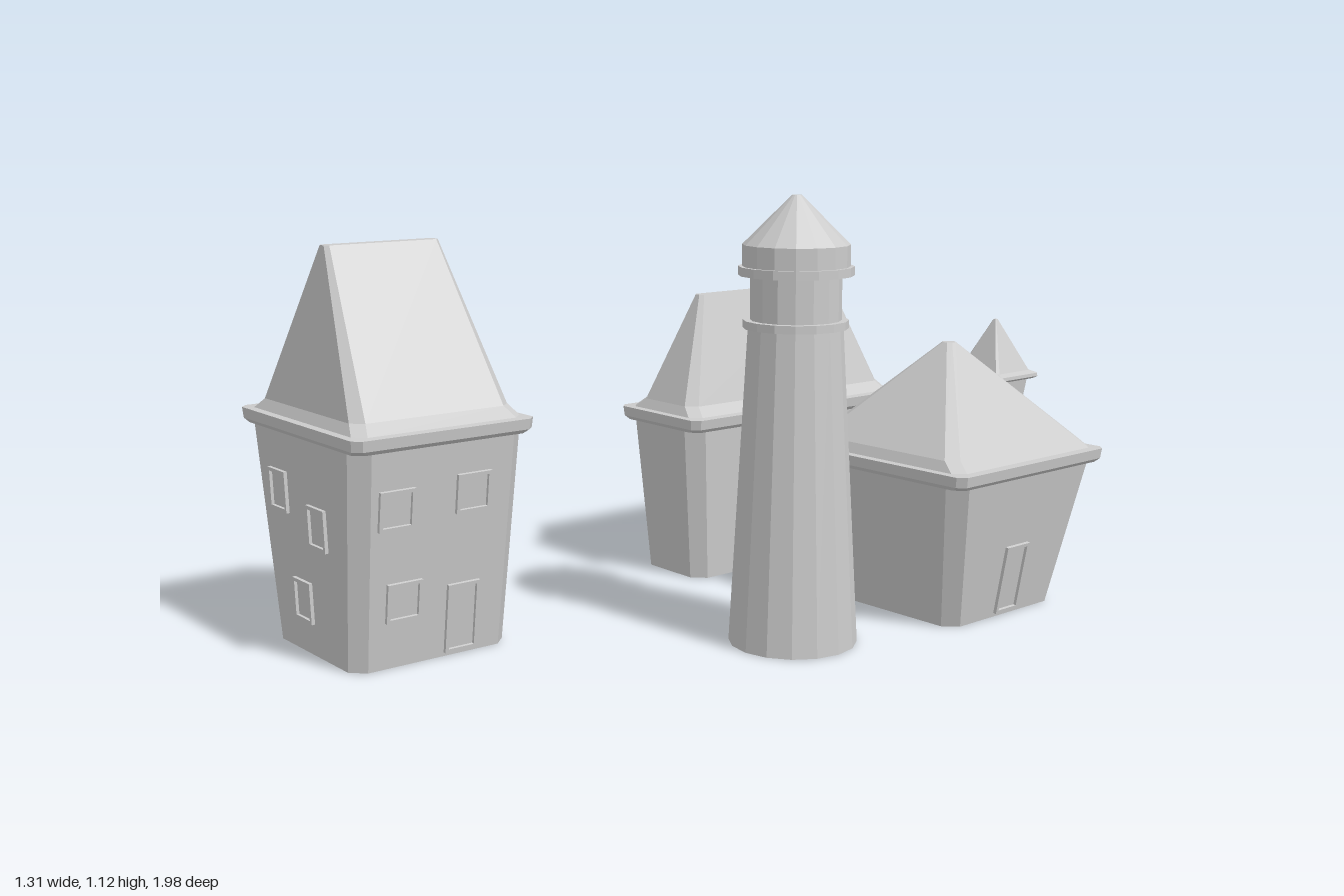
import * as THREE from 'three';

const material = new THREE.MeshStandardMaterial({ color: 0xcccccc, flatShading: true });

function addMesh(parent, geometry, name) {
  const mesh = new THREE.Mesh(geometry, material);
  mesh.name = name;
  parent.add(mesh);
  return mesh;
}

// Stack of rectangular rings with cut corners; each ring is [y, halfX, halfZ, cornerCut]
function loft(rings) {
  const pos = [], idx = [];
  for (const [y, hx, hz, c] of rings) {
    pos.push(hx, y, -hz + c, hx, y, hz - c, hx - c, y, hz, -hx + c, y, hz,
      -hx, y, hz - c, -hx, y, -hz + c, -hx + c, y, -hz, hx - c, y, -hz);
  }
  const last = (rings.length - 1) * 8;
  const base = pos.length / 3, top = base + 1;
  pos.push(0, rings[0][0], 0, 0, rings[rings.length - 1][0], 0);
  for (let i = 0; i < 8; i++) {
    const j = (i + 1) % 8;
    for (let r = 0; r < last; r += 8) idx.push(r + i, r + 8 + i, r + j, r + j, r + 8 + i, r + 8 + j);
    idx.push(base, i, j, top, last + j, last + i);
  }
  const indexed = new THREE.BufferGeometry();
  indexed.setAttribute('position', new THREE.Float32BufferAttribute(pos, 3));
  indexed.setIndex(idx);
  const geometry = indexed.toNonIndexed();
  geometry.computeVertexNormals();
  return geometry;
}

// Thin raised frame with an open middle
function frameGeometry(w, h, border, depth) {
  const rect = (P, a, b) => {
    const p = new P();
    p.moveTo(-a, -b).lineTo(a, -b).lineTo(a, b).lineTo(-a, b).closePath();
    return p;
  };
  const shape = rect(THREE.Shape, w / 2, h / 2);
  shape.holes.push(rect(THREE.Path, w / 2 - border, h / 2 - border));
  return new THREE.ExtrudeGeometry(shape, { depth, bevelEnabled: false });
}

// House with outward-leaning walls, flared eaves and a hipped roof
function house(name, { x, z, turn = 0, base, top, wall, ridgeY, ridge }) {
  const group = new THREE.Group();
  group.name = name;
  group.position.set(x, 0, z);
  group.rotation.y = turn;
  const [tx, tz] = top;
  addMesh(group, loft([[0, ...base, 0.035], [wall, tx, tz, 0.042]]), 'walls');
  addMesh(group, loft([
    [wall - 0.005, tx + 0.008, tz + 0.003, 0.025],
    [wall + 0.005, tx + 0.018, tz + 0.01, 0.02],
    [wall + 0.032, tx + 0.022, tz + 0.012, 0.02],
    [wall + 0.034, tx - 0.003, tz - 0.006, 0.028],
    [wall + 0.06, tx - 0.037, tz - 0.02, 0.028],
    [ridgeY, ...ridge, 0.01],
  ]), 'roof');

  // Place a frame on a wall: side 0 = +z, 1 = +x, 2 = -z, 3 = -x
  const opening = (label, side, along, y, w, h) => {
    const k = side % 2 ? 0 : 1;
    const pivot = new THREE.Group();
    pivot.name = label;
    pivot.rotation.y = side * Math.PI / 2;
    group.add(pivot);
    const frame = addMesh(pivot, frameGeometry(w, h, 0.009, 0.012), label + 'Frame');
    const panel = addMesh(pivot, new THREE.BoxGeometry(w - 0.016, h - 0.016, 0.008), label + 'Panel');
    for (const part of [frame, panel]) {
      part.position.set(along, y, THREE.MathUtils.lerp(base[k], top[k], y / wall) - 0.003);
      part.rotation.x = Math.atan((top[k] - base[k]) / wall);
    }
  };
  return { group, opening };
}

export function createModel() {
  const model = new THREE.Group();
  model.name = 'village';

  // Tall house with windows all round and a door
  const tall = house('tallHouse', {
    x: -0.343, z: 0.735, turn: -0.04, base: [0.208, 0.218], top: [0.285, 0.237],
    wall: 0.555, ridgeY: 1.01, ridge: [0.02, 0.157],
  });
  for (const [u, y] of [[-0.125, 0.4], [0.07, 0.337], [-0.03, 0.135]]) {
    tall.opening('window', 0, u, y, 0.09, 0.105);
    tall.opening('window', 2, -u, y, 0.09, 0.105);
  }
  for (const [u, y] of [[-0.125, 0.405], [0.085, 0.42], [-0.095, 0.17]]) {
    tall.opening('window', 1, u, y, 0.095, 0.1);
    tall.opening('window', 3, -u, y, 0.095, 0.1);
  }
  tall.opening('window', 3, -0.075, 0.185, 0.095, 0.1);
  tall.opening('door', 1, 0.07, 0.1, 0.09, 0.18);

  // Long plain house
  const long = house('longHouse', {
    x: -0.345, z: -0.57, turn: -0.025, base: [0.125, 0.362], top: [0.152, 0.4],
    wall: 0.44, ridgeY: 0.8, ridge: [0.018, 0.26],
  });

  // Square house with a door and a roof turret
  const square = house('squareHouse', {
    x: 0.34, z: -0.602, base: [0.212, 0.212], top: [0.286, 0.286],
    wall: 0.395, ridgeY: 0.71, ridge: [0.017, 0.017],
  });
  square.opening('door', 1, 0, 0.105, 0.09, 0.19);
  const turret = new THREE.Group();
  turret.name = 'turret';
  turret.position.z = -0.194;
  square.group.add(turret);
  addMesh(turret, loft([[0.42, 0.045, 0.045, 0.006], [0.595, 0.068, 0.068, 0.008]]), 'turretWalls');
  addMesh(turret, loft([
    [0.592, 0.078, 0.078, 0.006], [0.598, 0.087, 0.087, 0.006], [0.607, 0.086, 0.086, 0.006],
    [0.615, 0.07, 0.07, 0.007], [0.755, 0.005, 0.005, 0.002],
  ]), 'turretRoof');

  // Lighthouse: tapered shaft, gallery rings, lantern room and conical cap
  const tower = new THREE.Group();
  tower.name = 'lighthouse';
  tower.position.set(0.34, 0, -0.022);
  for (const [name, y0, y1, r0, r1] of [
    ['shaft', 0, 0.8, 0.163, 0.118],
    ['lowerRing', 0.8, 0.82, 0.131, 0.131],
    ['lanternRoom', 0.82, 0.93, 0.113, 0.113],
    ['upperRing', 0.93, 0.952, 0.143, 0.143],
    ['capBand', 0.952, 1.005, 0.133, 0.133],
    ['cap', 1.005, 1.125, 0.133, 0.012],
  ]) {
    addMesh(tower, new THREE.CylinderGeometry(r1, r0, y1 - y0, 16), name).position.y = (y0 + y1) / 2;
  }

  model.add(tall.group, long.group, square.group, tower);
  return model;
}
